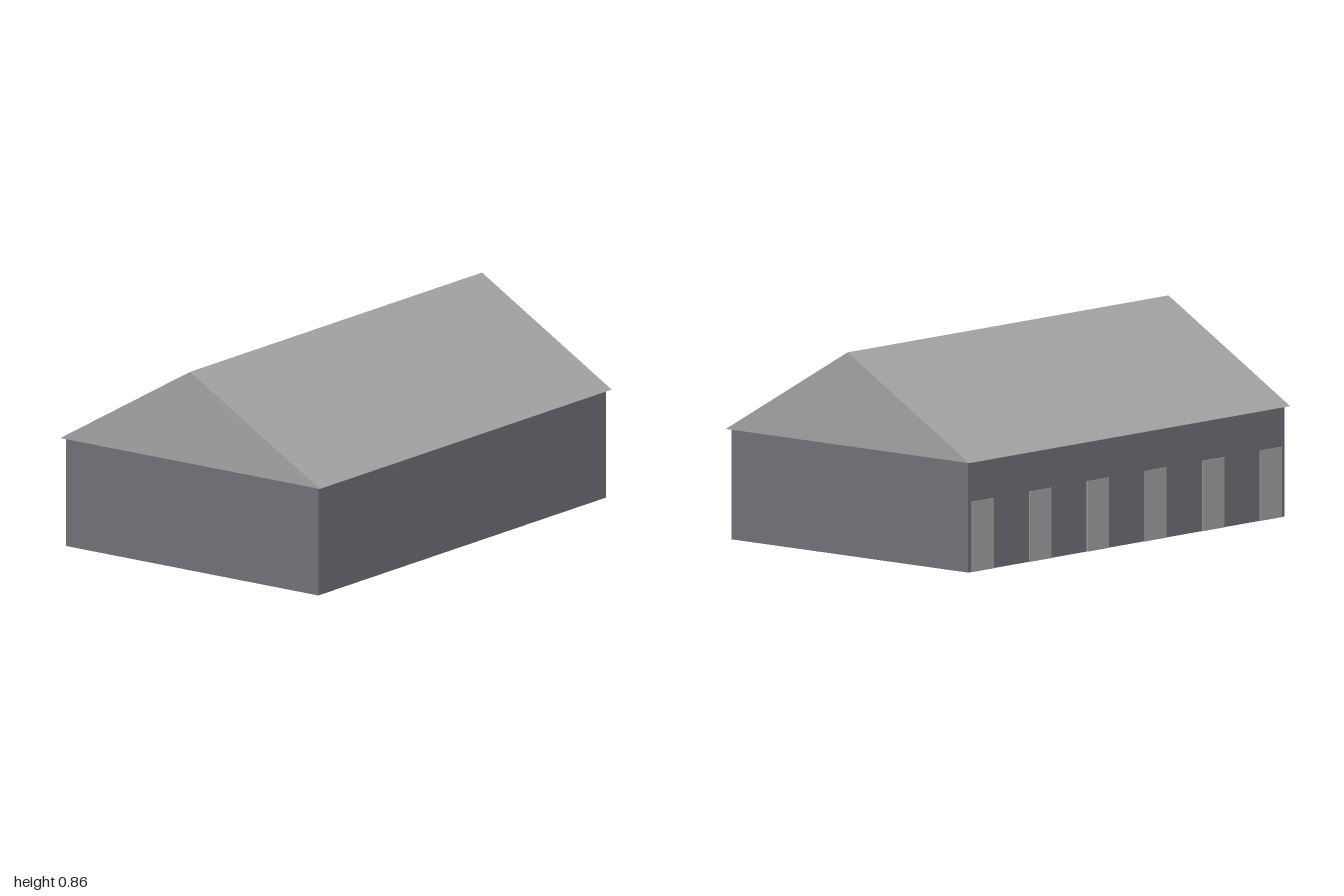
import * as THREE from 'three';

export function createModel() {
  const model = new THREE.Group();
  const wallGrey = new THREE.MeshStandardMaterial({ color: 0x707279 });
  wallGrey.name = 'wallGrey';
  const paleGrey = new THREE.MeshStandardMaterial({ color: 0xa3a3a3 });
  paleGrey.name = 'paleGrey';

  const add = (name, geometry, material, x, y, z) => {
    const mesh = new THREE.Mesh(geometry, material);
    mesh.name = name;
    mesh.position.set(x, y, z);
    model.add(mesh);
  };

  const eave = 0.463, wallDepth = 1.312;

  // Walls
  add('walls', new THREE.BoxGeometry(1.97, eave, wallDepth), wallGrey, 0, eave / 2, 0);

  // Gable roof: triangular section run along x, slightly overhanging the walls
  const section = new THREE.Shape([
    new THREE.Vector2(-0.675, 0),
    new THREE.Vector2(0.675, 0),
    new THREE.Vector2(0, 0.393),
  ]);
  const roof = new THREE.ExtrudeGeometry(section, { depth: 2, bevelEnabled: false });
  roof.translate(0, 0, -1).rotateY(Math.PI / 2);
  add('roof', roof, paleGrey, 0, eave, 0);

  // Row of six doors along the back wall
  const doorGeometry = new THREE.BoxGeometry(0.135, 0.295, 0.008);
  for (let i = 0; i < 6; i++) {
    add('door', doorGeometry, paleGrey, (i - 2.5) * 0.359, 0.1475, -wallDepth / 2);
  }

  return model;
}
